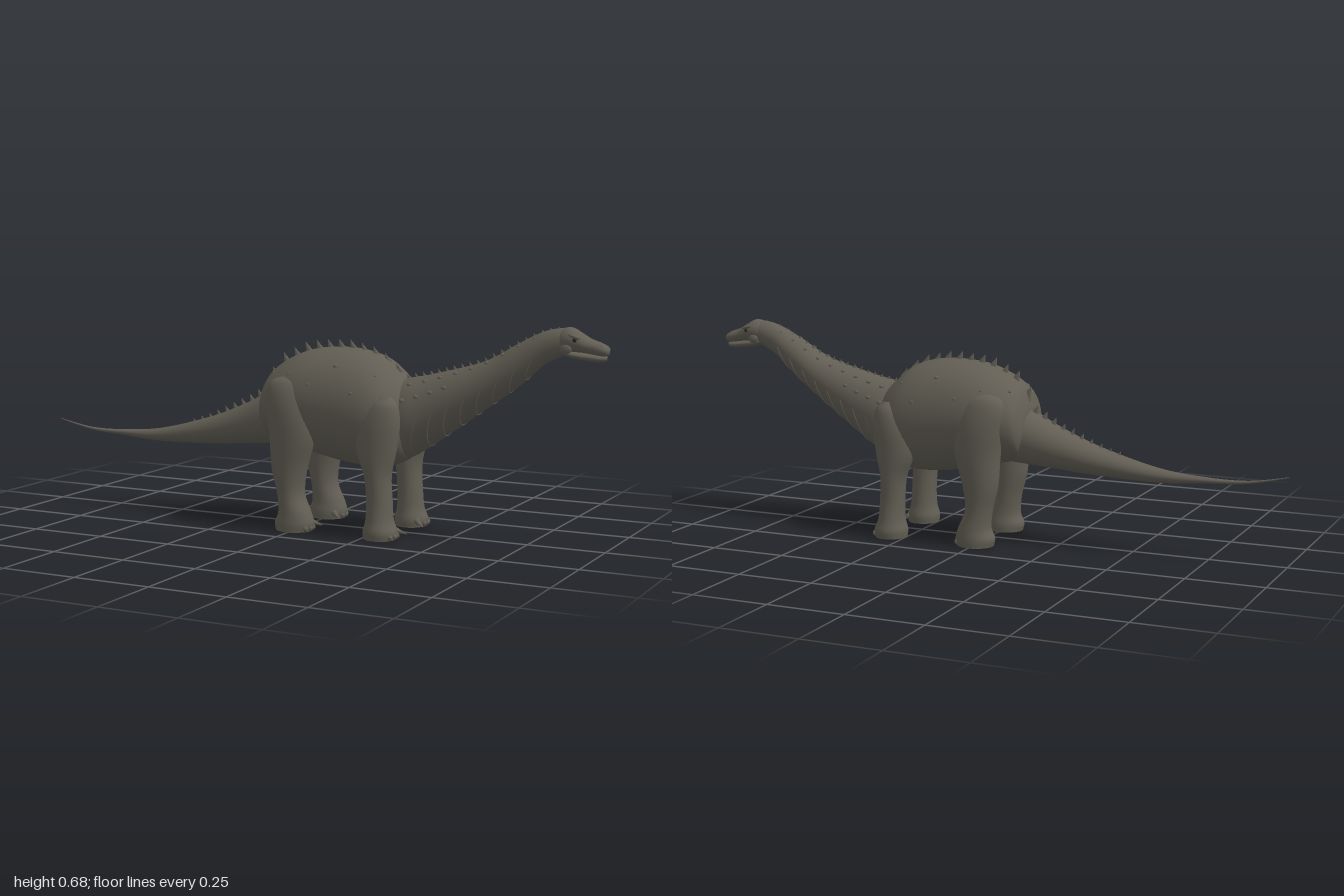
import * as THREE from 'three';

const skin = new THREE.MeshStandardMaterial({ color: 0x625e54 });
skin.name = 'grey brown skin';
const dark = new THREE.MeshStandardMaterial({ color: 0x2a2320 });
dark.name = 'dark sole and eye';

function add(parent, geometry, name, material = skin) {
  const mesh = new THREE.Mesh(geometry, material);
  mesh.name = name;
  parent.add(mesh);
  return mesh;
}

// Smooth loft of elliptical rings. Key: [position, u0, u1, v0, v1].
// Along x the rings span y and z; along y they span z and x.
function loft(keys, axis, sides = 36, steps = 6) {
  const curve = new THREE.CubicInterpolant(keys.map((_, i) => i), keys.flat(), 5);
  const n = (keys.length - 1) * steps;
  const pos = [], index = [];
  for (let k = 0; k <= n; k++) {
    const [a, u0, u1, v0, v1] = curve.evaluate(k / steps);
    for (let j = 0; j < sides; j++) {
      const t = (j / sides) * Math.PI * 2;
      const u = (u0 + u1) / 2 + Math.cos(t) * (u1 - u0) / 2;
      const v = (v0 + v1) / 2 + Math.sin(t) * (v1 - v0) / 2;
      if (axis === 'x') pos.push(a, u, v); else pos.push(v, a, u);
      if (k === n) continue;
      const p = k * sides + j, q = k * sides + (j + 1) % sides;
      index.push(p, q, p + sides, q, q + sides, p + sides);
    }
  }
  const g = new THREE.BufferGeometry();
  g.setAttribute('position', new THREE.Float32BufferAttribute(pos, 3));
  g.setIndex(index);
  g.computeVertexNormals();
  return g;
}

// Symmetric key: [x, bottom, top, half width]
const spread = rows => rows.map(([x, b, t, w]) => [x, b, t, -w, w]);

// Linear reading of a profile at x: [bottom, top, half width]
function sample(rows, x) {
  let i = 0;
  while (i < rows.length - 2 && rows[i + 1][0] < x) i++;
  const f = (x - rows[i][0]) / (rows[i + 1][0] - rows[i][0]);
  return [1, 2, 3].map(c => THREE.MathUtils.lerp(rows[i][c], rows[i + 1][c], f));
}

const BODY = [[-.152, .34, .4, .04], [-.142, .3, .46, .1], [-.11, .27, .52, .135], [0, .245, .575, .16],
  [.14, .216, .588, .165], [.25, .21, .566, .16], [.32, .225, .515, .138], [.36, .255, .47, .1], [.375, .32, .4, .03]];
const NECK = [[.29, .225, .49, .09], [.36, .247, .503, .106], [.44, .297, .52, .095], [.6, .41, .565, .073],
  [.71, .49, .625, .057], [.79, .56, .665, .045], [.85, .593, .678, .038], [.88, .61, .668, .028]];
const TAIL = [[-1, .281, .284, .001], [-.87, .252, .262, .006], [-.735, .242, .262, .014], [-.58, .232, .278, .029],
  [-.39, .238, .328, .052], [-.255, .248, .38, .068], [-.13, .258, .44, .085], [-.04, .265, .46, .09]];
const SKULL = [[.838, .63, .655, .012], [.85, .605, .676, .035], [.88, .604, .682, .041], [.91, .606, .667, .038],
  [.94, .603, .65, .031], [.975, .598, .638, .028], [.993, .601, .628, .021], [1, .611, .617, .005]];
const JAW = [[.85, .6, .62, .026], [.88, .59, .614, .035], [.93, .583, .607, .028], [.97, .58, .602, .024],
  [.987, .584, .6, .016], [.992, .59, .595, .004]];

// Leg keys: [y, inner z, outer z, back x, front x]
const HIND = [[0, .065, .178, -.064, .058], [.025, .065, .178, -.068, .064], [.06, .07, .174, -.055, .053],
  [.12, .072, .169, -.06, .03], [.2, .07, .173, -.08, .04], [.3, .065, .178, -.088, .068],
  [.38, .06, .178, -.1, .068], [.44, .06, .168, -.106, .055], [.48, .07, .15, -.09, .03], [.5, .095, .12, -.045, -.02]];
const FORE = [[0, .066, .178, .25, .355], [.025, .064, .18, .248, .358], [.06, .07, .172, .257, .345],
  [.12, .073, .166, .258, .34], [.2, .073, .168, .25, .337], [.28, .07, .17, .222, .354],
  [.36, .068, .168, .225, .364], [.42, .078, .155, .26, .358], [.45, .1, .13, .295, .335]];

function claw(parent, name, x, y, z, dir, radius, length) {
  const g = new THREE.ConeGeometry(radius, length, 10);
  g.translate(0, length / 2, 0);
  const m = add(parent, g, name);
  m.quaternion.setFromUnitVectors(new THREE.Vector3(0, 1, 0), new THREE.Vector3(...dir).normalize());
  m.position.set(x, y, z);
}

function leg(keys, name) {
  const group = new THREE.Group();
  group.name = name;
  add(group, loft(keys, 'y', 28), name + 'Limb');
  const [, z0, z1, x0, x1] = keys[0];
  const cx = (x0 + x1) / 2, cz = (z0 + z1) / 2, rx = (x1 - x0) / 2, rz = (z1 - z0) / 2;
  const sole = add(group, new THREE.CylinderGeometry(1, 1, .004, 28), 'sole', dark);
  sole.scale.set(rx, 1, rz);
  sole.position.set(cx, .002, cz);
  // three blunt toenails and one long inner claw
  for (const z of [.108, .129, .15]) {
    const nail = add(group, new THREE.SphereGeometry(1, 12, 8), 'toenail');
    nail.scale.set(.008, .009, .008);
    nail.position.set(cx + rx * Math.sqrt(1 - ((z - cz) / rz) ** 2) + .002, .011, z);
  }
  claw(group, 'innerClaw', cx + rx * .7, .022, z0 + .017, [1, -.45, -.7], .011, .042);
  return group;
}

export function createModel() {
  const model = new THREE.Group();
  model.name = 'longNeckedDinosaur';
  add(model, loft(spread(BODY), 'x', 48), 'body');
  add(model, loft(spread(NECK), 'x'), 'neck');
  add(model, loft(spread(TAIL), 'x'), 'tail');

  // Skin folds under the neck
  for (let i = 0; i < 8; i++) {
    const x = .39 + i * .052;
    const pts = [];
    for (let j = 0; j <= 12; j++) {
      const t = Math.PI * (1.02 + .96 * j / 12);
      const px = x - .035 * Math.sin(t) * -1 + .02;
      const [b, top, w] = sample(NECK, px);
      pts.push(new THREE.Vector3(px, (b + top) / 2 + Math.sin(t) * (top - b) / 2, Math.cos(t) * w));
    }
    add(model, new THREE.TubeGeometry(new THREE.CatmullRomCurve3(pts), 24, .0025, 6), 'neckFold');
  }

  // Head
  const head = new THREE.Group();
  head.name = 'head';
  model.add(head);
  add(head, loft(spread(SKULL), 'x', 28), 'skull');
  add(head, loft(spread(JAW), 'x', 24), 'lowerJaw');
  for (const s of [1, -1]) {
    const eye = add(head, new THREE.SphereGeometry(.007, 14, 10), 'eye', dark);
    eye.position.set(.9, .646, s * .036);
    const brow = add(head, new THREE.SphereGeometry(1, 14, 10), 'brow');
    brow.scale.set(.02, .006, .009);
    brow.position.set(.898, .657, s * .034);
    brow.rotation.z = -.3;
    const cheek = add(head, new THREE.SphereGeometry(1, 14, 10), 'cheek');
    cheek.scale.set(.018, .015, .007);
    cheek.position.set(.873, .618, s * .036);
    const nostril = add(head, new THREE.SphereGeometry(.004, 10, 8), 'nostril', dark);
    nostril.position.set(.978, .627, s * .018);
  }

  // Legs, mirrored to the other flank
  for (const s of [1, -1]) {
    const side = s > 0 ? 'left' : 'right';
    for (const [keys, kind] of [[HIND, 'HindLeg'], [FORE, 'FrontLeg']]) {
      const g = leg(keys, side + kind);
      g.scale.z = s;
      model.add(g);
    }
  }

  // Spines along the back: [profile, first x, last x, count, first height, last height]
  const runs = [[TAIL, -.45, -.16, 10, .01, .028], [BODY, -.132, .31, 12, .036, .026], [NECK, .345, .84, 20, .014, .009]];
  for (const [rows, xa, xb, count, ha, hb] of runs) {
    for (let i = 0; i < count; i++) {
      const f = i / (count - 1), x = THREE.MathUtils.lerp(xa, xb, f), h = THREE.MathUtils.lerp(ha, hb, f);
      const g = new THREE.ConeGeometry(h * .5, h * 1.3, 10);
      g.translate(0, h * .35, 0);
      const spine = add(model, g, 'backSpine');
      spine.scale.z = .5;
      spine.rotation.z = .4;
      spine.position.set(x, sample(rows, x)[1], 0);
    }
  }

  // Raised scales: [profile, x, angle from the top]
  const scales = [[BODY, -.02, .9], [BODY, .14, .75], [BODY, .27, .7], [BODY, .06, 1.15], [BODY, .21, 1.2], [BODY, -.1, .6]];
  for (let i = 0; i < 9; i++) scales.push([NECK, .37 + i * .05, .55]);
  for (let i = 0; i < 4; i++) scales.push([NECK, .36 + i * .045, 1.05]);
  for (const [rows, x, angle] of scales) {
    const [b, t, w] = sample(rows, x);
    for (const s of [1, -1]) {
      const bump = add(model, new THREE.SphereGeometry(1, 12, 8), 'raisedScale');
      const r = rows === NECK ? .009 - (x - .36) * .008 : .008;
      bump.scale.set(r, r * .55, r * .8);
      bump.position.set(x, (b + t) / 2 + Math.cos(angle) * (t - b) / 2, s * Math.sin(angle) * w);
      bump.rotation.x = s * angle;
    }
  }
  return model;
}
